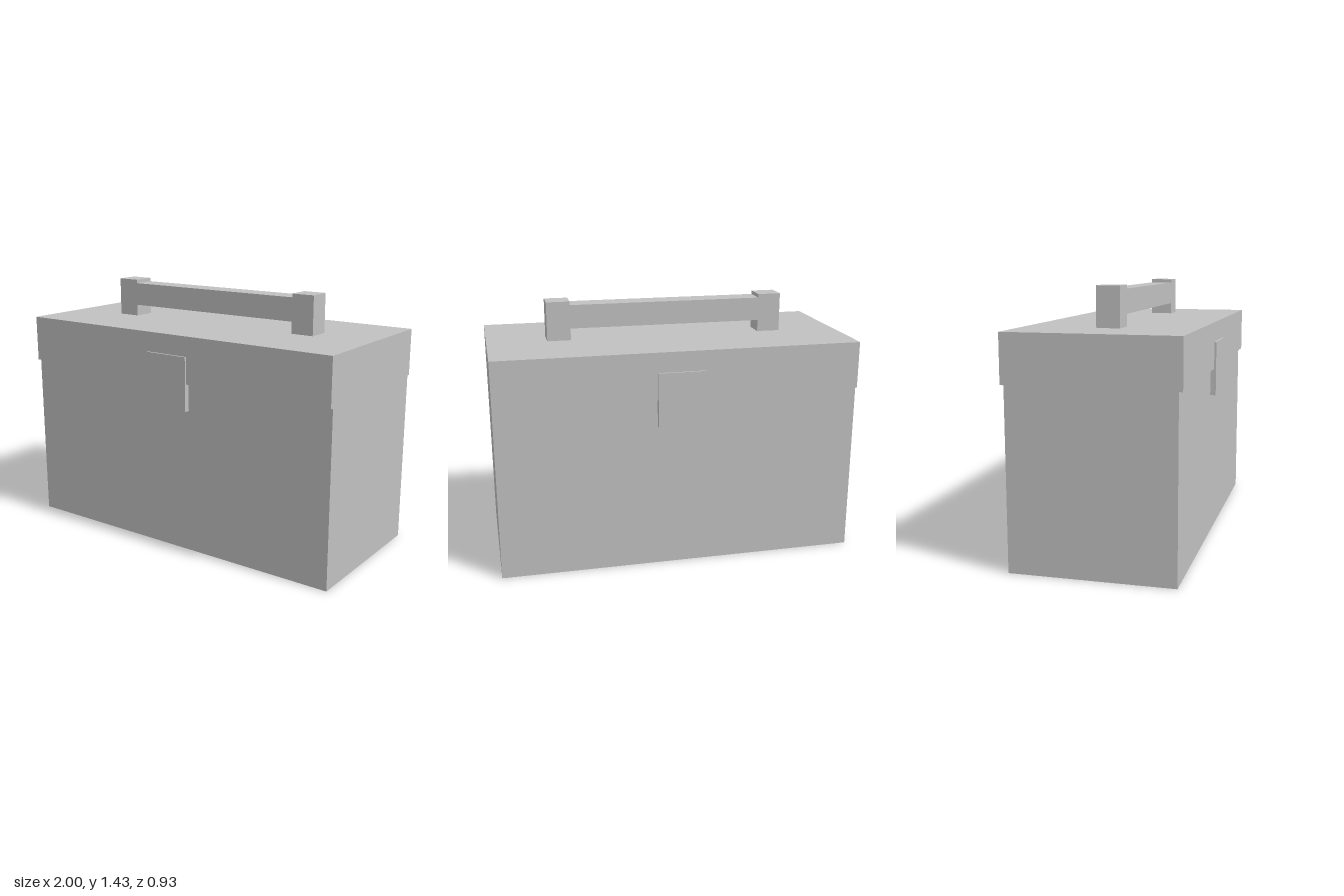
import * as THREE from 'three';

export function createModel() {
  const group = new THREE.Group();
  const grey = new THREE.MeshStandardMaterial({ color: 0xc0c0c0 });
  grey.name = 'grey';

  const add = (name, geometry) => {
    const mesh = new THREE.Mesh(geometry, grey);
    mesh.name = name;
    group.add(mesh);
    return mesh;
  };
  // Box from its bottom and top heights
  const box = (name, width, y0, y1, depth, z = 0) =>
    add(name, new THREE.BoxGeometry(width, y1 - y0, depth)).position.set(0, (y0 + y1) / 2, z);

  // Case body and the slightly deeper lid
  box('body', 2, 0, 0.96, 0.872);
  box('lid', 2, 0.96, 1.22, 0.912);

  // Latch plates on the front and back, overlapping the seam
  for (const [name, side] of [['frontLatch', 1], ['backLatch', -1]]) {
    box(name, 0.262, 0.81, 1.11, 0.034, side * 0.45);
  }

  // Carrying handle: two posts joined by a thinner grip bar
  const half = [[0.54, 1.285], [0.54, 1.22], [0.67, 1.22], [0.67, 1.435], [0.54, 1.435], [0.54, 1.415]];
  const outline = [...half, ...half.map(([x, y]) => [-x, y]).reverse()];
  const shape = new THREE.Shape(outline.map(([x, y]) => new THREE.Vector2(x, y)));
  const depth = 0.126;
  const handle = new THREE.ExtrudeGeometry(shape, { depth, bevelEnabled: false });
  add('handle', handle.translate(0, 0, -depth / 2));

  return group;
}
